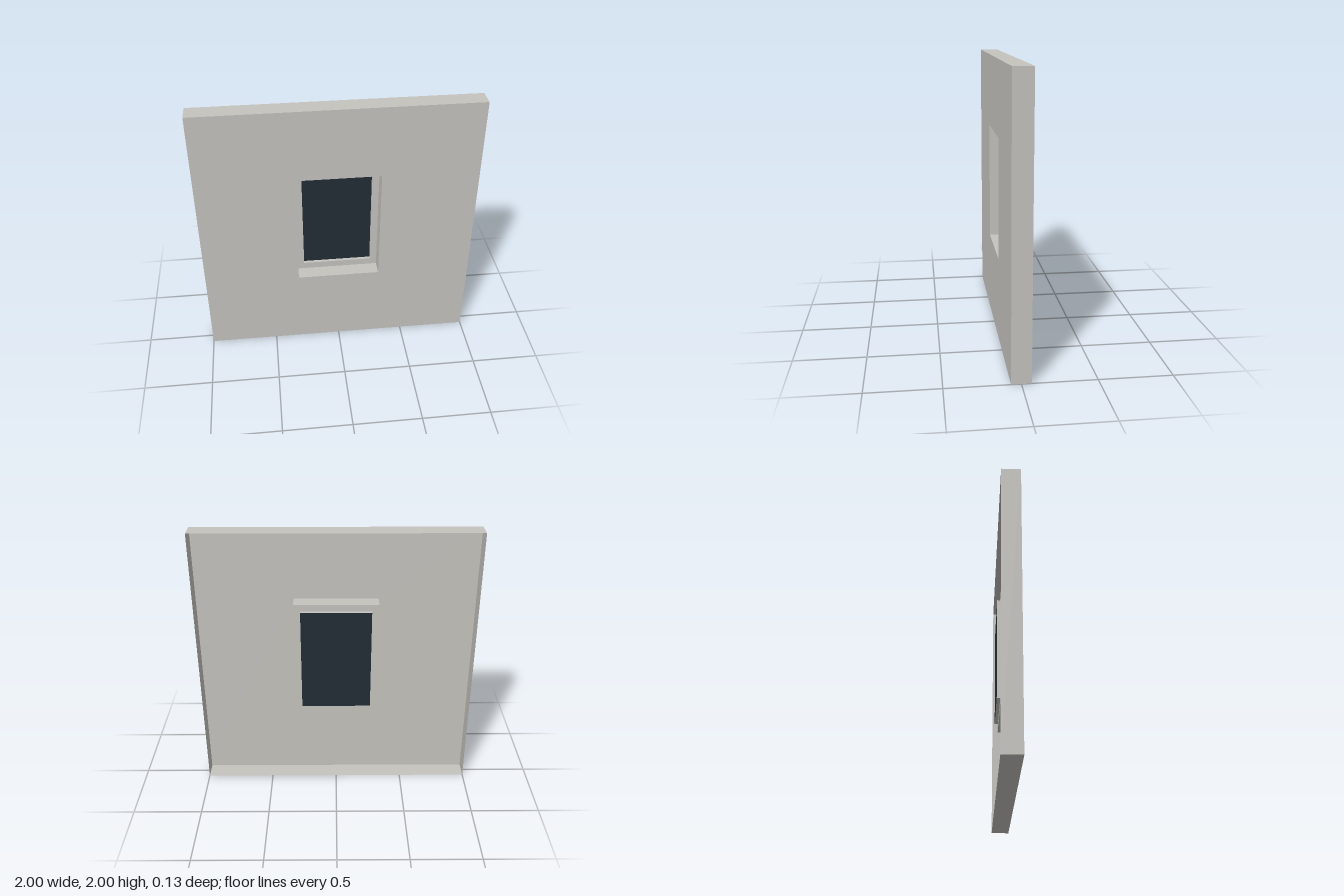
import * as THREE from 'three';

const FRONT = 0.067, BACK = -0.067, FRAME_Z = -0.043;

// rectangles: half width, bottom, top
const OUTER = { w: 1, y0: 0, y1: 2 };
const OPENING = { w: 0.303, y0: 0.6, y1: 1.47 };
const PANE = { w: 0.253, y0: 0.65, y1: 1.42 };

const corners = ({ w, y0, y1 }) => [
  new THREE.Vector2(-w, y0), new THREE.Vector2(w, y0),
  new THREE.Vector2(w, y1), new THREE.Vector2(-w, y1),
];

// flat sheet facing +z, with an optional rectangular hole
function sheet(name, rect, hole, z, material) {
  const shape = new THREE.Shape(corners(rect));
  if (hole) shape.holes.push(new THREE.Path(corners(hole).reverse()));
  const mesh = new THREE.Mesh(new THREE.ShapeGeometry(shape), material);
  mesh.name = name;
  mesh.position.z = z;
  return mesh;
}

// four thin sides running from z0 (front) to z1 (back) around a rectangle
function sides(name, { w, y0, y1 }, z0, z1, material) {
  const group = new THREE.Group();
  group.name = name;
  const depth = z0 - z1, height = y1 - y0, midY = (y0 + y1) / 2, midZ = (z0 + z1) / 2;
  for (const s of [-1, 1]) {
    const upright = new THREE.Mesh(new THREE.PlaneGeometry(depth, height), material);
    upright.name = s > 0 ? 'leftSide' : 'rightSide';
    upright.rotation.y = s * Math.PI / 2;
    upright.position.set(s * w, midY, midZ);
    const level = new THREE.Mesh(new THREE.PlaneGeometry(2 * w, depth), material);
    level.name = s > 0 ? 'topSide' : 'bottomSide';
    level.rotation.x = -s * Math.PI / 2;
    level.position.set(0, s > 0 ? y1 : y0, midZ);
    group.add(upright, level);
  }
  return group;
}

export function createModel() {
  const concrete = new THREE.MeshStandardMaterial({ color: 0xc5c3be, side: THREE.DoubleSide });
  concrete.name = 'concrete';
  const darkGlass = new THREE.MeshStandardMaterial({ color: 0x232d35, side: THREE.DoubleSide });
  darkGlass.name = 'darkGlass';

  const model = new THREE.Group();
  model.name = 'wallPanelWithWindow';
  model.add(
    // hollow wall, open at the back
    sheet('wallFace', OUTER, OPENING, FRONT, concrete),
    sides('wallRim', OUTER, FRONT, BACK, concrete),
    // stepped window recess
    sides('windowReveal', OPENING, FRONT, FRAME_Z, concrete),
    sheet('windowFrame', OPENING, PANE, FRAME_Z, concrete),
    sides('paneReveal', PANE, FRAME_Z, BACK, concrete),
    sheet('windowPane', PANE, null, BACK, darkGlass),
  );
  return model;
}
